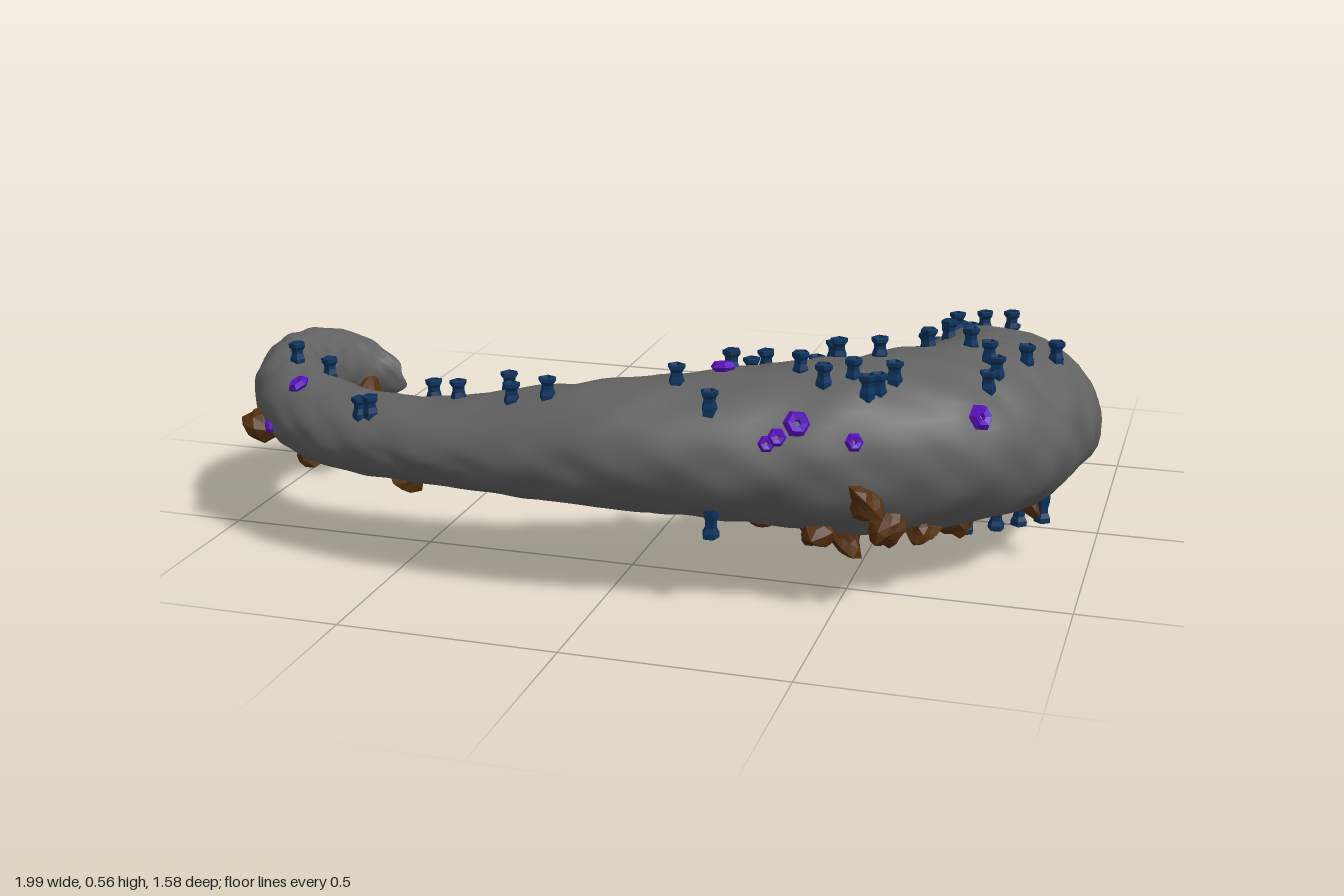
import * as THREE from 'three';

// Stations along the body: outer edge x,z | inner edge x,z | bottom y, top y
const STATIONS = [
  [-0.88, 0.0, -0.73, 0.1, 0.19, 0.33], [-0.94, 0.08, -0.79, 0.16, 0.21, 0.38],
  [-0.98, 0.2, -0.82, 0.24, 0.22, 0.415], [-0.995, 0.32, -0.82, 0.33, 0.22, 0.425],
  [-0.96, 0.46, -0.77, 0.41, 0.21, 0.415], [-0.86, 0.58, -0.69, 0.455, 0.2, 0.395],
  [-0.7, 0.685, -0.58, 0.48, 0.2, 0.385], [-0.5, 0.745, -0.42, 0.485, 0.205, 0.39],
  [-0.25, 0.775, -0.22, 0.48, 0.2, 0.43], [0, 0.785, -0.03, 0.45, 0.195, 0.47],
  [0.28, 0.74, 0.15, 0.385, 0.17, 0.49], [0.55, 0.665, 0.3, 0.31, 0.14, 0.51],
  [0.775, 0.535, 0.42, 0.22, 0.12, 0.515], [0.92, 0.35, 0.495, 0.13, 0.11, 0.505],
  [0.985, 0.15, 0.52, 0.03, 0.1, 0.495], [0.99, 0, 0.51, -0.07, 0.09, 0.475],
  [0.935, -0.2, 0.495, -0.18, 0.08, 0.42], [0.835, -0.37, 0.455, -0.33, 0.07, 0.335],
  [0.705, -0.54, 0.41, -0.47, 0.06, 0.26], [0.57, -0.67, 0.385, -0.53, 0.06, 0.215],
  [0.45, -0.79, 0.34, -0.55, 0.06, 0.195],
];
const outerCurve = new THREE.CatmullRomCurve3(STATIONS.map(s => new THREE.Vector3(s[0], s[5], s[1])));
const innerCurve = new THREE.CatmullRomCurve3(STATIONS.map(s => new THREE.Vector3(s[2], s[4], s[3])));

// Growth positions: x,z pairs on the top and on the underside
const TOP = [
  0.46, -0.56, 0.5, -0.565, 0.455, -0.48, 0.535, -0.395, 0.715, -0.42, 0.69, -0.315, 0.59, -0.225,
  0.62, -0.215, 0.645, -0.235, 0.745, -0.245, 0.85, -0.235, 0.64, -0.05, 0.7, -0.085, 0.765, -0.075,
  0.58, 0.025, 0.635, 0.04, 0.895, 0.135, 0.62, 0.235, 0.715, 0.24, 0.84, 0.235, 0.765, 0.295,
  0.79, 0.345, 0.78, 0.395, 0.38, 0.31, 0.43, 0.355, 0.445, 0.375, 0.54, 0.39, 0.25, 0.39,
  0.29, 0.415, 0.22, 0.455, 0.23, 0.485, 0.395, 0.53, 0.455, 0.57, 0.51, 0.53, 0.55, 0.575,
  0.57, 0.55, 0.595, 0.51, 0.235, 0.685, 0.14, 0.61, -0.13, 0.68, -0.215, 0.675, -0.255, 0.585,
  -0.365, 0.615, -0.45, 0.555, -0.575, 0.68, -0.55, 0.68, -0.745, 0.48, -0.835, 0.465,
];
const UNDER = [
  0.45, -0.55, 0.52, -0.47, 0.53, -0.55, 0.62, -0.4, 0.68, -0.31, 0.7, -0.04, 0.76, -0.06,
  0.83, 0.14, 0.89, 0.2, 0.6, 0.2, 0.72, 0.23, 0.66, 0.14, 0.64, 0.28, 0.78, 0.16, 0.24, 0.69,
];
// Lumps: approximate x, y, z (seated on the skin) and size
const ROCKS = [
  [0.16, 0.22, 0.36, 0.038], [0.25, 0.21, 0.31, 0.036], [0.49, 0.17, 0.12, 0.034], [0.87, 0.16, -0.34, 0.046],
  [0.56, 0.27, 0.66, 0.042], [0.6, 0.17, 0.62, 0.05], [0.45, 0.16, 0.6, 0.045], [0.5, 0.14, 0.52, 0.045],
  [0.32, 0.17, 0.5, 0.036], [0.42, 0.14, 0.48, 0.04], [0.55, 0.11, 0.22, 0.046], [0.62, 0.1, 0.1, 0.038],
  [0.7, 0.1, 0.02, 0.044], [0.66, 0.08, -0.13, 0.048], [0.57, 0.07, -0.43, 0.04], [0.72, 0.12, 0.36, 0.04],
  [0.86, 0.12, 0.2, 0.032], [0.58, 0.12, 0.42, 0.042], [0.66, 0.13, 0.5, 0.038],
  [-0.92, 0.26, 0.54, 0.048], [-0.8, 0.25, 0.18, 0.042], [-0.87, 0.22, 0.16, 0.034],
  [-0.78, 0.21, 0.53, 0.032], [-0.5, 0.19, 0.62, 0.038],
];
const BUDS = [
  [0.81, 0.4, -0.26, 1], [0.76, 0.41, 0.48, 1.3], [0.42, 0.43, 0.67, 1.3], [0.39, 0.4, 0.69, 0.9],
  [0.37, 0.39, 0.7, 0.8], [0.55, 0.395, 0.65, 0.9], [0.22, 0.5, 0.53, 1.2], [-0.78, 0.375, 0.565, 1.1],
  [-0.85, 0.28, 0.6, 0.7], [0, 0.2, 0.6, 0.7], [0.93, 0.165, -0.17, 1], [0.69, 0.15, -0.53, 0.7],
  [0.6, 0.085, -0.37, 0.9],
];

function ringCentre(t) {
  return outerCurve.getPoint(t).add(innerCurve.getPoint(t)).multiplyScalar(0.5);
}

// Point of the wrinkled skin at length t and angle a (0 = outer side, 90 degrees = top)
function skinPoint(t, a) {
  const o = outerCurve.getPoint(t), n = innerCurve.getPoint(t);
  const c = o.clone().add(n).multiplyScalar(0.5);
  const crease = Math.abs(Math.sin(t * 62 + 1.6 * Math.sin(a * 2 + t * 17) + 0.6 * Math.sin(a * 5 - t * 29)));
  const wrinkle = 0.982 + 0.028 * crease + 0.014 * Math.sin(t * 53 + a * 3)
    + 0.013 * Math.sin(a * 6 - t * 131) + 0.008 * Math.sin(t * 210 + 3 * Math.sin(a * 4));
  // the far open end is squared off on its outer side
  const round = Math.cos(a) > 0 ? 1 - 0.5 * THREE.MathUtils.smoothstep(t, 0.92, 1) : 1;
  const soften = v => Math.sign(v) * Math.abs(v) ** round;
  const w = soften(Math.cos(a)) * wrinkle, h = soften(Math.sin(a)) * wrinkle;
  const p = new THREE.Vector3(c.x + (o.x - n.x) / 2 * w, c.y + (o.y - n.y) / 2 * h, c.z + (o.z - n.z) / 2 * w);
  // torn notch at the top and bottom of each open end
  const end = Math.max(0, Math.abs(t - 0.5) - 0.48) / 0.02;
  if (end > 0) {
    const inward = ringCentre(t < 0.5 ? 0.04 : 0.96).sub(c).normalize();
    p.addScaledVector(inward, end * (0.03 * Math.sin(a) ** 2 + 0.006 * Math.sin(a * 7)));
  }
  return p;
}

function bodyGeometry(rings = 260, sides = 44) {
  const pos = [], index = [];
  for (let i = 0; i <= rings; i++) {
    for (let j = 0; j < sides; j++) {
      pos.push(...skinPoint(i / rings, j / sides * Math.PI * 2).toArray());
      if (i === rings) continue;
      const a = i * sides + j, c = i * sides + (j + 1) % sides;
      index.push(a, a + sides, c, c, a + sides, c + sides);
    }
  }
  const g = new THREE.BufferGeometry();
  g.setAttribute('position', new THREE.Float32BufferAttribute(pos, 3));
  g.setIndex(index);
  g.computeVertexNormals();
  return g;
}

// Irregular faceted stone of unit size
function rockGeometry() {
  const g = new THREE.IcosahedronGeometry(1, 1), p = g.attributes.position, v = new THREE.Vector3();
  for (let i = 0; i < p.count; i++) {
    v.fromBufferAttribute(p, i);
    v.multiplyScalar(0.95 + 0.16 * Math.sin(v.x * 4 + v.y * 2) + 0.12 * Math.cos(v.z * 4 - v.y * 3));
    p.setXYZ(i, v.x, v.y, v.z);
  }
  g.computeVertexNormals();
  return g;
}

export function createModel() {
  const model = new THREE.Group();
  const paint = (color, flat = true) => new THREE.MeshStandardMaterial({ color, flatShading: flat, side: THREE.DoubleSide });
  const add = (parent, name, geo, mat) => {
    const m = new THREE.Mesh(geo, mat);
    m.name = name;
    parent.add(m);
    return m;
  };
  const group = name => {
    const g = new THREE.Group();
    g.name = name;
    model.add(g);
    return g;
  };
  add(model, 'body', bodyGeometry(), paint(0x626262, false));

  // Skin samples used to seat the growths
  const samples = [];
  for (let i = 0; i <= 240; i++) {
    for (let j = 0; j < 80; j++) {
      const a = j / 80 * Math.PI * 2;
      samples.push({ p: skinPoint(i / 240, a), t: i / 240, up: Math.sin(a) });
    }
  }
  const nearest = (dist, ok = () => true) => {
    let best, min = Infinity;
    for (const s of samples) {
      if (!ok(s)) continue;
      const d = dist(s.p);
      if (d < min) { min = d; best = s; }
    }
    return { ...best, out: best.p.clone().sub(ringCentre(best.t)).normalize() };
  };

  // Barnacles: five-sided cups, upright on top and hanging below
  const cup = new THREE.LatheGeometry([[0.018, -0.015], [0.018, 0.004], [0.014, 0.016], [0.014, 0.025], [0.02, 0.033],
    [0.02, 0.041], [0.014, 0.043], [0.009, 0.028], [0, 0.026]].map(q => new THREE.Vector2(...q)), 5);
  const cupMat = paint(0x0d345f);
  const barnacles = group('barnacles');
  const seat = (list, dir) => {
    for (let i = 0; i < list.length; i += 2) {
      const s = nearest(p => (p.x - list[i]) ** 2 + (p.z - list[i + 1]) ** 2, q => q.up * dir > 0);
      const m = add(barnacles, 'barnacle', cup, cupMat);
      m.position.set(list[i], s.p.y, list[i + 1]);
      m.rotation.set(dir > 0 ? 0 : Math.PI, i * 1.3, 0);
      m.scale.set(1, dir > 0 ? 1 : 1.4, 1);
    }
  };
  seat(TOP, 1);
  seat(UNDER, -1);

  // Stones half sunk into the sides and underside
  const stone = rockGeometry(), stoneMat = paint(0x54300f);
  const stones = group('stones');
  ROCKS.forEach(([x, y, z, r], i) => {
    const at = new THREE.Vector3(x, y, z);
    const s = nearest(p => p.distanceToSquared(at));
    const m = add(stones, 'stone', stone, stoneMat);
    m.position.copy(s.p).addScaledVector(s.out, r * 0.15);
    m.rotation.set(i * 1.7, i * 2.3, i);
    m.scale.set(r * 1.1, r * 0.8, r * 0.9);
  });

  // Small ring-shaped buds facing away from the body
  const bud = new THREE.TorusGeometry(0.014, 0.01, 5, 6), budMat = paint(0x5a0ebe);
  const buds = group('buds');
  BUDS.forEach(([x, y, z, k]) => {
    const at = new THREE.Vector3(x, y, z);
    const s = nearest(p => p.distanceToSquared(at));
    const m = add(buds, 'bud', bud, budMat);
    m.position.copy(s.p).addScaledVector(s.out, 0.005);
    m.quaternion.setFromUnitVectors(new THREE.Vector3(0, 0, 1), s.out);
    m.scale.setScalar(k);
  });
  return model;
}
